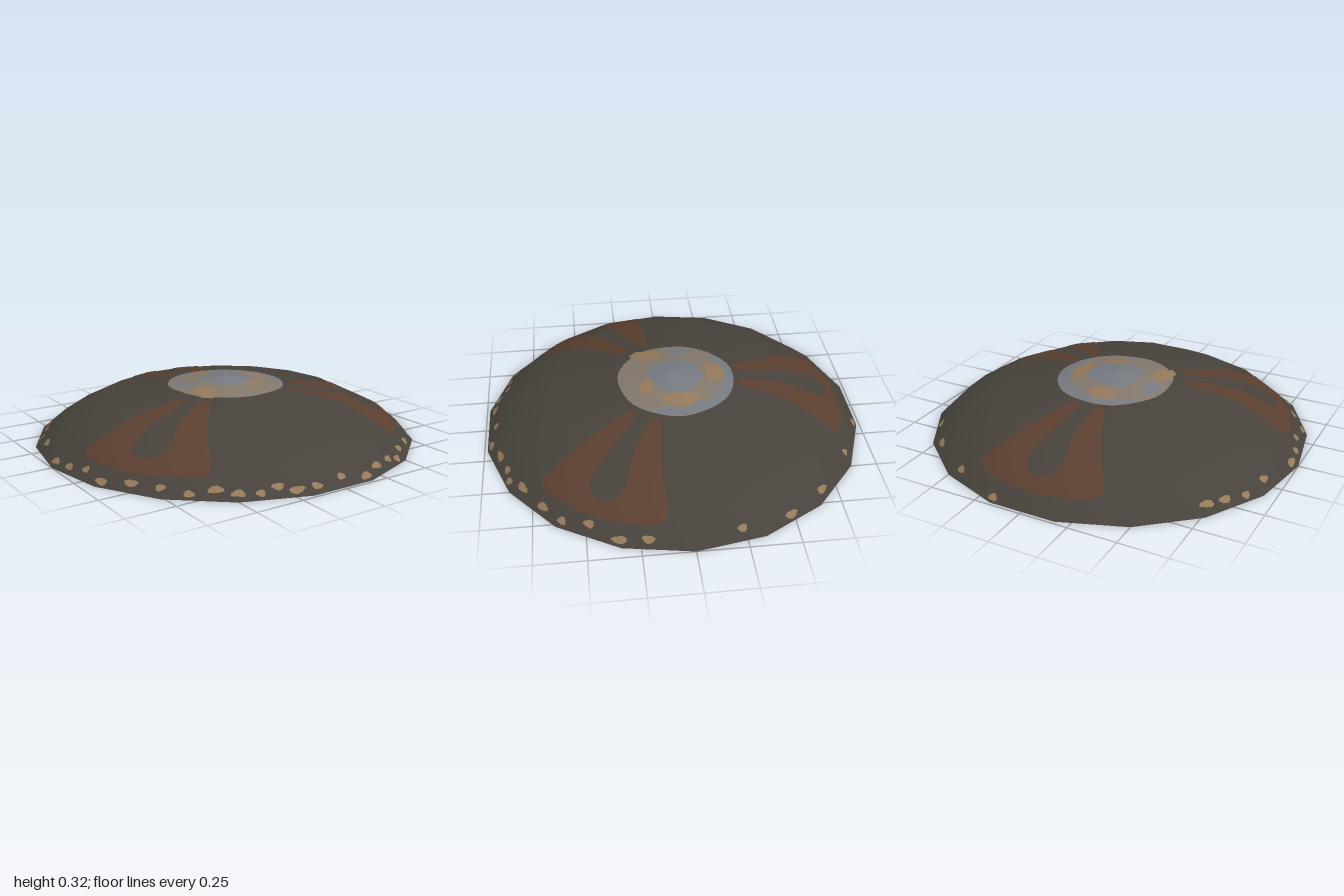
import * as THREE from 'three';

const paint = (name, color) =>
  new THREE.MeshStandardMaterial({ name, color, side: THREE.DoubleSide });
const MATERIALS = {
  shell: paint('dark umber', 0x47423b),
  petal: paint('rust brown', 0x5a3f30),
  cap: paint('taupe', 0x83776b),
  steel: paint('worn steel', 0x757980),
  tan: paint('tan wear', 0x93785a),
};

const RAD = Math.PI / 180;
const SIDES = 18;
const STEP = 360 / SIDES;
const RADII = [0, 0.645, 0.87, 1];
const HEIGHTS = [0.315, 0.22, 0.11, 0];
const SLOPES = [0.146, 0.3, 0.55, 0.65]; // outward part of the smooth normal

// Linear interpolation through a short table
function lerpTable(xs, ys, x) {
  let i = 1;
  while (i < xs.length - 1 && x > xs[i]) i++;
  const f = Math.min(1, Math.max(0, (x - xs[i - 1]) / (xs[i] - xs[i - 1])));
  return ys[i - 1] + (ys[i] - ys[i - 1]) * f;
}

// Radius of the faceted ring that passes through (x, z)
function ringRadius(x, z) {
  const deg = Math.atan2(z, x) / RAD + 360;
  return (Math.hypot(x, z) * Math.cos(((deg % STEP) - STEP / 2) * RAD)) / Math.cos((STEP / 2) * RAD);
}

// Thin painted sheet that hugs the dome, laid on its outside and inside.
// at(s, t) gives [x, z]; s runs with the angle and t runs outward.
function patch(name, material, at, cols, rows, lift) {
  const positions = [], normals = [], index = [];
  for (const side of [1, -1]) {
    const base = positions.length / 3;
    for (let j = 0; j <= rows; j++) {
      for (let i = 0; i <= cols; i++) {
        let [x, z] = at(i / cols, j / rows);
        let ring = ringRadius(x, z);
        if (ring > 0.994) {
          x *= 0.994 / ring;
          z *= 0.994 / ring;
          ring = 0.994;
        }
        const r = Math.hypot(x, z) || 1;
        const out = lerpTable(RADII, SLOPES, ring);
        const n = [(out * x) / r, Math.sqrt(1 - out * out), (out * z) / r];
        const o = side * lift;
        const y = lerpTable(RADII, HEIGHTS, ring) + n[1] * o;
        positions.push(x + n[0] * o, Math.max(0, y), z + n[2] * o);
        normals.push(...n);
        if (i < cols && j < rows) {
          const a = base + j * (cols + 1) + i, c = a + cols + 1;
          index.push(a, a + 1, c, a + 1, c + 1, c);
        }
      }
    }
  }
  const g = new THREE.BufferGeometry();
  g.setAttribute('position', new THREE.Float32BufferAttribute(positions, 3));
  g.setAttribute('normal', new THREE.Float32BufferAttribute(normals, 3));
  g.setIndex(index);
  const mesh = new THREE.Mesh(g, material);
  mesh.name = name;
  return mesh;
}

// Ragged oval: ru along the turned u axis, rv along v
function blob(name, material, { x = 0, z = 0, ru, rv = ru, turn = 0, seed = 0, rough = 0.06, lean = 0, lift = 0.003, cols = 48, rows = 12 }) {
  const c = Math.cos(turn), s = Math.sin(turn);
  return patch(name, material, (p, t) => {
    const a = p * Math.PI * 2;
    const k = t * (1 + lean * Math.cos(a + Math.PI / 4) +
      rough * (0.6 * Math.sin(3 * a + seed) + 0.4 * Math.sin(7 * a + 2 * seed)));
    const u = ru * k * Math.cos(a), v = rv * k * Math.sin(a);
    return [x + u * c - v * s, z + u * s + v * c];
  }, cols, rows, lift);
}

// Fan-shaped petal with a teardrop gap: radius, half angle of gap, half angle of petal
const PETAL = [
  [0.345, 7, 12], [0.37, 6, 15.5], [0.45, 5, 17], [0.58, 5.4, 18.5],
  [0.7, 6.6, 20], [0.77, 6.8, 21.3], [0.81, 5.5, 22], [0.835, 3, 22.3],
  [0.846, 0, 22.3], [0.88, 0, 22.3], [0.9, 0, 19], [0.91, 0, 12],
];
function petal(name, centre) {
  const group = new THREE.Group();
  group.name = name;
  const radii = PETAL.map((p) => p[0]);
  const gaps = PETAL.map((p) => p[1]);
  const edges = PETAL.map((p) => p[2]);
  for (const half of [-1, 1]) {
    group.add(patch(half < 0 ? 'petalHalfA' : 'petalHalfB', MATERIALS.petal, (s, t) => {
      const r = radii[0] + (radii[radii.length - 1] - radii[0]) * t;
      const gap = lerpTable(radii, gaps, r), edge = lerpTable(radii, edges, r);
      const deg = half < 0 ? -edge + (edge - gap) * s : gap + (edge - gap) * s;
      const a = (centre + deg) * RAD;
      return [r * Math.cos(a), r * Math.sin(a)];
    }, 10, 60, 0.003));
  }
  return group;
}

// Angles of the worn chips round the rim
const CHIPS = [
  13, 21, 31, 39, 47, 57, 63, 67, 74, 81, 89, 98, 104, 109, 114, 120, 126, 133, 141,
  150, 159, 167, 174, 181, 196, 205, 212, 218, 280, 297, 316, 330, 346,
];

export function createModel() {
  const model = new THREE.Group();
  model.name = 'domedHat';

  // Open eighteen-sided dome
  const profile = RADII.map((r, i) => new THREE.Vector2(r, HEIGHTS[i])).reverse();
  const shell = new THREE.Mesh(
    new THREE.LatheGeometry(profile, SIDES, (STEP / 2) * RAD, Math.PI * 2), MATERIALS.shell);
  shell.name = 'domeShell';
  model.add(shell);

  // Three petals
  ['petalBack', 'petalLeft', 'petalRight'].forEach((name, i) => model.add(petal(name, -90 + i * 120)));

  // Worn metal cap
  const cap = new THREE.Group();
  cap.name = 'crownCap';
  const capShape = { lean: 0.09, rough: 0.02, seed: 1 };
  cap.add(blob('capDisc', MATERIALS.cap, { ...capShape, ru: 0.305, cols: 72, rows: 16 }));
  cap.add(blob('capCentre', MATERIALS.steel, { ru: 0.14, lean: 0.18, rough: 0.12, seed: 2, lift: 0.0048 }));
  cap.add(patch('capEdge', MATERIALS.steel, (s, t) => {
    const a = (-135 + 170 * s) * RAD;
    const outer = 0.303 * (1 + 0.09 * Math.cos(a + Math.PI / 4));
    const width = 0.065 * Math.sin(Math.PI * s) ** 0.5 * (1 + 0.25 * Math.sin(11 * a));
    const r = outer - width * (1 - t);
    return [r * Math.cos(a), r * Math.sin(a)];
  }, 48, 4, 0.0048));
  cap.add(blob('capPatchLeft', MATERIALS.steel, { x: -0.215, z: -0.06, ru: 0.04, rv: 0.075, rough: 0.2, lift: 0.0048 }));
  const wear = [
    [-0.01, -0.225, 0.075, 0.05], [-0.2, 0.115, 0.05, 0.09], [0.21, -0.03, 0.045, 0.1], [0.1, 0.14, 0.06, 0.035],
  ];
  wear.forEach(([x, z, ru, rv], i) =>
    cap.add(blob('capWear', MATERIALS.tan, { x, z, ru, rv, rough: 0.2, seed: i, lift: 0.0058 })));
  model.add(cap);

  // Rim chips
  const chips = new THREE.Group();
  chips.name = 'rimChips';
  CHIPS.forEach((deg, i) => {
    const a = deg * RAD;
    const r = (0.965 + 0.012 * Math.sin(i * 2.3)) / ringRadius(Math.cos(a), Math.sin(a));
    chips.add(blob('rimChip', MATERIALS.tan, {
      x: r * Math.cos(a), z: r * Math.sin(a), turn: a + Math.PI / 2,
      ru: 0.03 + 0.008 * Math.sin(i * 1.7), rv: 0.014, rough: 0.2, seed: i, cols: 16, rows: 3,
    }));
  });
  model.add(chips);
  return model;
}
